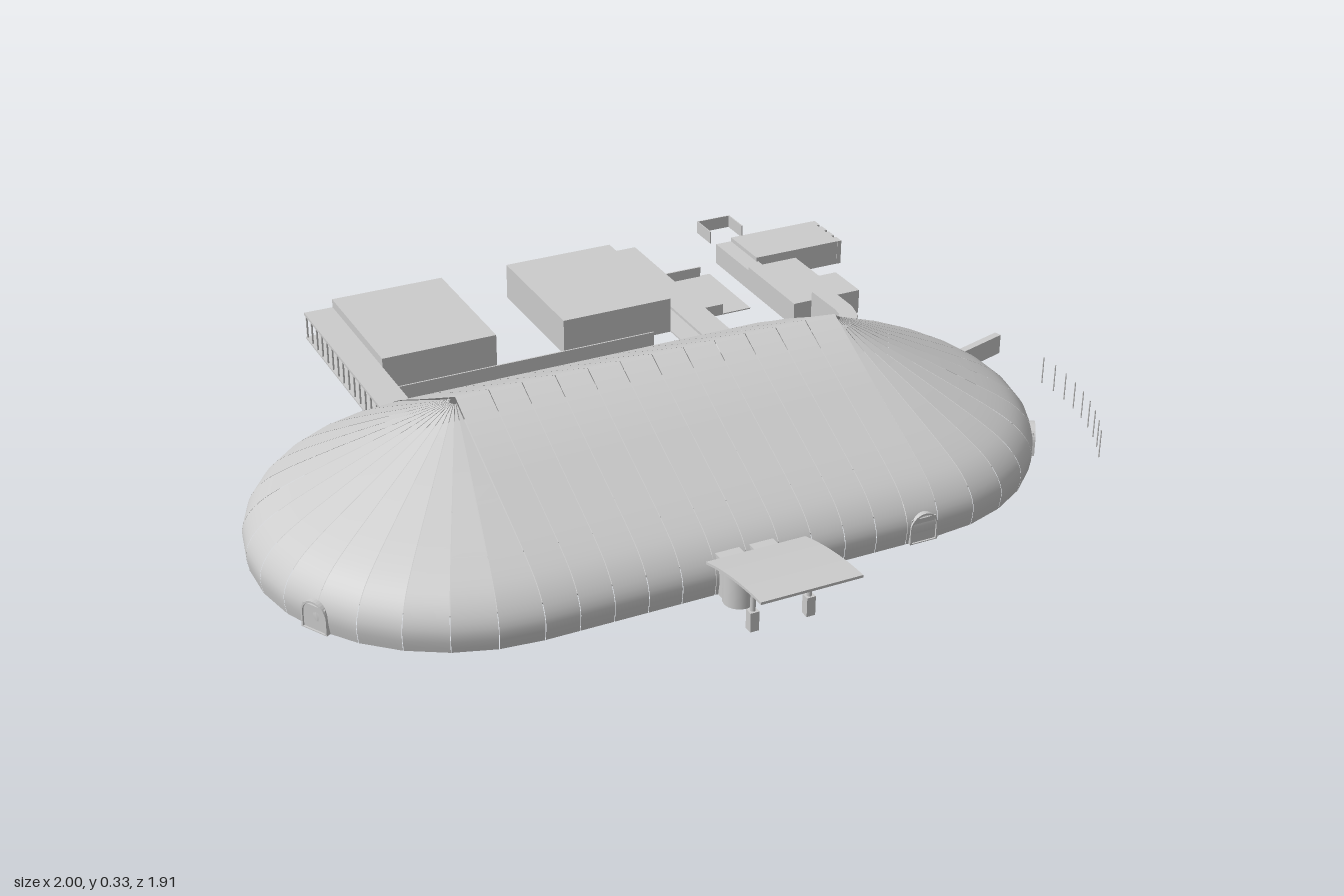
import * as THREE from 'three';

const CZ = 0.232, R = 0.464, XL = -0.538, XR = 0.38;   // hall axis, radius and ends

export function createModel() {
  const root = new THREE.Group();
  const mat = new THREE.MeshStandardMaterial({ color: 0xcccccc, side: THREE.DoubleSide });

  const add = (name, geo, parent = root) => {
    const m = new THREE.Mesh(geo, mat);
    m.name = name;
    parent.add(m);
    return m;
  };
  const group = (name) => {
    const g = new THREE.Group();
    g.name = name;
    root.add(g);
    return g;
  };
  // box given by its limits on each axis
  const box = (name, x0, x1, y0, y1, z0, z1, parent) => {
    const m = add(name, new THREE.BoxGeometry(x1 - x0, y1 - y0, z1 - z0), parent);
    m.position.set((x0 + x1) / 2, (y0 + y1) / 2, (z0 + z1) / 2);
    return m;
  };
  // plan outline of [x, z] points raised from y0 to y1
  const plan = (name, pts, y0, y1, parent) => {
    const shape = new THREE.Shape(pts.map(([x, z]) => new THREE.Vector2(x, -z)));
    const geo = new THREE.ExtrudeGeometry(shape, { depth: y1 - y0, bevelEnabled: false });
    geo.rotateX(-Math.PI / 2).translate(0, y0, 0);
    return add(name, geo, parent);
  };
  // strip of quads between two rows of points, one shared normal per pair
  const strip = (name, a, b, parent) => {
    const pos = [], idx = [];
    a.forEach((p, i) => {
      pos.push(...p, ...b[i]);
      if (i) idx.push(2 * i - 2, 2 * i - 1, 2 * i, 2 * i - 1, 2 * i + 1, 2 * i);
    });
    const geo = new THREE.BufferGeometry();
    geo.setAttribute('position', new THREE.Float32BufferAttribute(pos, 3));
    geo.setIndex(idx);
    geo.computeVertexNormals();
    const nor = geo.attributes.normal, n = new THREE.Vector3(), m = new THREE.Vector3();
    for (let i = 0; i < nor.count; i += 2) {
      n.fromBufferAttribute(nor, i).add(m.fromBufferAttribute(nor, i + 1)).normalize();
      nor.setXYZ(i, n.x, n.y, n.z);
      nor.setXYZ(i + 1, n.x, n.y, n.z);
    }
    return add(name, geo, parent);
  };

  // Roof profile: distance from the ridge and height
  const profile = new THREE.SplineCurve([
    [0.012, 0.322], [0.1, 0.277], [0.2, 0.228], [0.3, 0.179], [0.37, 0.143],
    [0.42, 0.111], [0.452, 0.075], [0.464, 0.04], [0.459, 0],
  ].map(([r, y]) => new THREE.Vector2(r, y))).getPoints(24);

  // Straight middle of the hall: twelve membrane bays, smooth over the ridge
  const bays = group('middleRoofBays');
  const bayW = (XR - XL) / 12, gap = 0.0007;
  const slope = profile.filter((p) => p.x > 0.18);
  for (let i = 0; i < 12; i++) {
    const x0 = XL + i * bayW + gap, x1 = XL + (i + 1) * bayW - gap;
    const row = (x) => [
      ...slope.map((p) => [x, p.y * 1.01, CZ + p.x]).reverse(),
      [x, 0.332, CZ],
      ...slope.map((p) => [x, p.y * 1.01, CZ - p.x]),
    ];
    strip('roofBay', row(x0), row(x1), bays);
  }

  // Rounded ends: fans of fifteen wedges
  for (const [name, cx, side] of [['leftEndFan', XR, 1], ['rightEndFan', XL, -1]]) {
    const fan = group(name), step = Math.PI / 15;
    for (let i = 0; i < 15; i++) {
      const row = (t, s) => profile.map((p) => {
        const a = t + s * Math.min(gap / p.x, step * 0.2);
        return [cx + side * p.x * Math.cos(a), p.y, CZ + p.x * Math.sin(a)];
      });
      const t0 = -Math.PI / 2 + i * step;
      const lo = row(t0, 1), hi = row(t0 + step, -1);
      strip('roofWedge', side > 0 ? hi : lo, side > 0 ? lo : hi, fan);
    }
  }

  // Raised hall floor, set in from the walls, with court mats
  const fr = R - 0.07, floorPts = [];
  for (const [cx, start] of [[XR, -Math.PI / 2], [XL, Math.PI / 2]]) {
    for (let i = 0; i <= 30; i++) {
      const a = start + i * Math.PI / 30;
      floorPts.push([cx + fr * Math.cos(a), CZ + fr * Math.sin(a)]);
    }
  }
  plan('hallFloor', floorPts, 0.041, 0.045);
  for (const x of [-0.42, -0.08, 0.26]) box('court', x - 0.13, x + 0.13, 0.039, 0.047, 0.03, 0.43);

  // Arched porches around the hall
  const arch = new THREE.Shape();
  arch.moveTo(-0.034, 0).lineTo(-0.034, 0.036);
  arch.absarc(0, 0.036, 0.034, Math.PI, 0, true);
  arch.lineTo(0.034, 0);
  const hole = new THREE.Path();
  hole.moveTo(-0.03, 0.002).lineTo(0.03, 0.002).lineTo(0.03, 0.036);
  hole.absarc(0, 0.036, 0.03, 0, Math.PI, false);
  arch.holes.push(hole);
  const door = (x, z, rot, depth = 0.05) => {
    const g = group('archedDoor');
    add('doorFrame', new THREE.ExtrudeGeometry(arch, { depth, bevelEnabled: false, curveSegments: 8 }), g)
      .position.z = -depth + 0.003;
    box('doorLeaf', -0.03, 0.03, 0.002, 0.058, -0.004, -0.001, g);
    g.position.set(x, 0, z);
    g.rotation.y = rot;
  };
  door(0.345, CZ + R, 0, 0.065);
  for (const a of [0.51, -0.25]) door(XR + R * Math.cos(a), CZ + R * Math.sin(a), Math.PI / 2 - a);
  door(XL - R * Math.cos(0.51), CZ + R * Math.sin(0.51), -Math.PI / 2 + 0.51);
  for (const x of [-0.505, 0.345]) door(x, CZ - R - 0.018, Math.PI, 0.06);

  // Main entrance: two revolving-door drums and an inner porch under a curved canopy
  for (const x of [-0.12, -0.04]) {
    const lobby = group('entranceLobby');
    box('lobbyBody', x - 0.028, x + 0.028, 0, 0.09, 0.66, 0.715, lobby);
    add('lobbyDrum', new THREE.CylinderGeometry(0.035, 0.035, 0.095, 16, 1, true), lobby)
      .position.set(x, 0.0475, 0.73);
    add('lobbyDrumTop', new THREE.CircleGeometry(0.035, 16).rotateX(-Math.PI / 2), lobby)
      .position.set(x, 0.095, 0.73);
  }
  const canopy = group('entranceCanopy');
  const sweep = new THREE.QuadraticBezierCurve(
    new THREE.Vector2(0.725, 0.105), new THREE.Vector2(0.84, 0.141), new THREE.Vector2(0.957, 0.143)).getPoints(10);
  const slab = new THREE.Shape([...sweep, ...sweep.map((p) => new THREE.Vector2(p.x, p.y + 0.006)).reverse()]);
  const slabGeo = new THREE.ExtrudeGeometry(slab, { depth: 0.23, bevelEnabled: false });
  slabGeo.rotateY(-Math.PI / 2).translate(0.035, 0, 0);
  add('canopyRoof', slabGeo, canopy);
  const rod = (name, a, b, r, parent) => add(name, new THREE.TubeGeometry(
    new THREE.LineCurve3(new THREE.Vector3(...a), new THREE.Vector3(...b)), 1, r, 8), parent);
  for (const x of [-0.145, -0.015]) {
    box('postFoot', x - 0.01, x + 0.01, 0, 0.045, 0.825, 0.845, canopy);
    rod('canopyPost', [x, 0.04, 0.835], [x, 0.1, 0.835], 0.006, canopy);
    rod('canopyBrace', [x, 0.095, 0.835], [x, 0.14, 0.91], 0.003, canopy);
    rod('canopyBrace', [x, 0.095, 0.835], [x, 0.121, 0.77], 0.003, canopy);
  }

  // Two rear halls
  for (const x of [-0.465, 0.01]) box('rearHall', x, x + 0.295, 0, 0.093, -0.81, -0.445);

  // Covered walks: roof, floor and rows of posts
  for (const x of [-0.54, 0.305]) {
    const walk = group('coveredWalk');
    box('walkRoof', x, x + 0.075, 0.064, 0.071, -0.81, -0.25, walk);
    box('walkFloor', x, x + 0.075, 0, 0.004, -0.81, -0.25, walk);
    const px = x < 0 ? x + 0.004 : x + 0.071;
    for (let i = 0; i < 15; i++) {
      const z = -0.805 + i * 0.0393;
      box('walkPost', px - 0.002, px + 0.002, 0.004, 0.064, z - 0.002, z + 0.002, walk);
    }
  }

  // Ground pads between the buildings with low walls
  box('rearPad', -0.45, 0.23, 0, 0.003, -0.39, -0.23);
  box('rearPadWall', -0.45, 0.23, 0, 0.04, -0.392, -0.388);
  box('sidePad', 0.41, 0.55, 0, 0.003, -0.705, -0.475);
  box('sidePadWall', 0.41, 0.52, 0, 0.03, -0.705, -0.701);
  box('sidePadWall', 0.41, 0.47, 0, 0.03, -0.479, -0.475);

  // Side buildings and the curved link to the hall
  plan('curvedLink', [[0.65, -0.335], [0.7, -0.335], [0.7, -0.22], [0.688, -0.17], [0.66, -0.135],
    [0.625, -0.12], [0.61, -0.16], [0.635, -0.175], [0.648, -0.195], [0.652, -0.22]], 0, 0.088);
  plan('sideBuilding', [[0.6, -0.58], [0.74, -0.58], [0.74, -0.455], [0.79, -0.455],
    [0.79, -0.335], [0.6, -0.335]], 0, 0.064);
  box('sideLink', 0.6, 0.65, 0, 0.055, -0.765, -0.58);
  const annex = group('annex');
  box('annexBody', 0.645, 0.893, 0, 0.066, -0.765, -0.62, annex);
  for (let i = 0; i < 4; i++) {
    const z = -0.75 + i * 0.039;
    box('annexPier', 0.89, 0.902, 0, 0.066, z - 0.014, z + 0.014, annex);
  }

  // Small open yard behind the annex
  const yard = group('yardWalls');
  box('yardBack', 0.64, 0.74, 0.004, 0.038, -0.957, -0.954, yard);
  for (const x of [0.64, 0.737]) box('yardSide', x, x + 0.003, 0.004, 0.038, -0.957, -0.877, yard);

  // Angled panel by the left end
  const panel = add('entrancePanel', new THREE.BoxGeometry(0.145, 0.05, 0.018));
  panel.position.set(0.898, 0.042, 0.056);
  panel.rotation.y = 0.29;

  // Slim poles in an arc outside the left end
  for (let i = 0; i < 9; i++) {
    const a = -0.06 + i * 0.077;
    add('pole', new THREE.CylinderGeometry(0.0015, 0.0015, 0.07, 6))
      .position.set(XR + 0.615 * Math.cos(a), 0.035, CZ + 0.615 * Math.sin(a));
  }
  return root;
}
